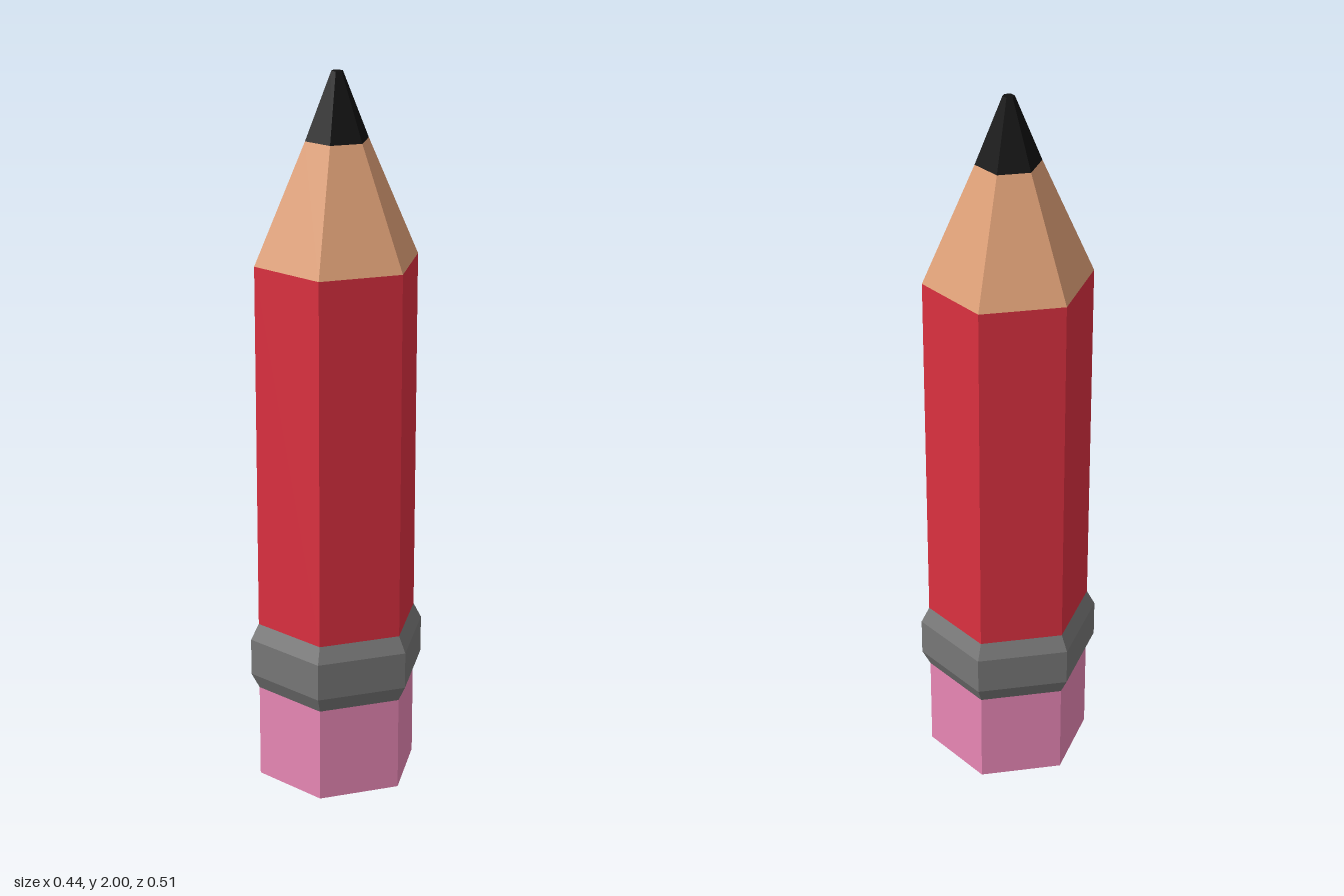
import * as THREE from 'three';

const SIDES = 6;
const R = 0.23; // corner radius of the hexagonal shaft

// Hexagonal solid swept from [radius, height] pairs, listed bottom to top
function hexPart(name, color, profile) {
  const points = profile.map(([r, y]) => new THREE.Vector2(r, y));
  const geometry = new THREE.LatheGeometry(points, SIDES);
  const material = new THREE.MeshStandardMaterial({ color, flatShading: true });
  const mesh = new THREE.Mesh(geometry, material);
  mesh.name = name;
  return mesh;
}

export function createModel() {
  const pencil = new THREE.Group();
  pencil.name = 'pencil';
  pencil.add(
    // Eraser with closed underside
    hexPart('eraser', 0xe887b5, [[0, 0], [R, 0], [R, 0.27]]),
    // Metal band with bevelled edges
    hexPart('ferrule', 0x777777, [[R, 0.27], [0.253, 0.315], [0.253, 0.42], [R, 0.465]]),
    // Painted shaft
    hexPart('shaft', 0xdb3040, [[R, 0.465], [R, 1.495]]),
    // Sharpened wood
    hexPart('woodCone', 0xdfa077, [[R, 1.495], [0.088, 1.82]]),
    // Lead with a small blunt end
    hexPart('leadTip', 0x111111, [[0.088, 1.82], [0.016, 2], [0, 2]]),
  );
  return pencil;
}
